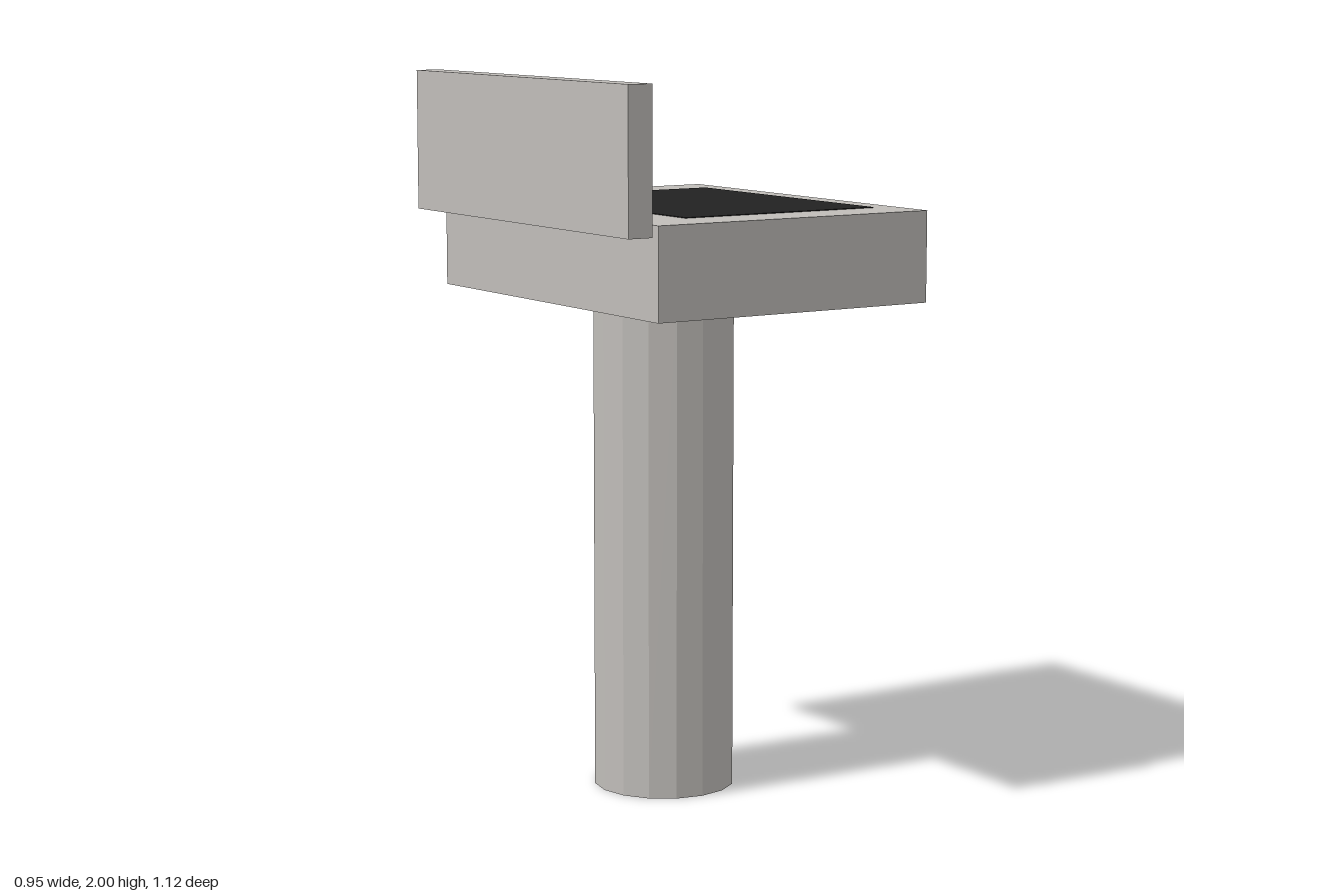
import * as THREE from 'three';

const stone = new THREE.MeshStandardMaterial({ name: 'paleStone', color: 0xc0bdb9 });
const brass = new THREE.MeshStandardMaterial({ name: 'brass', color: 0xb49a68 });
const dark = new THREE.MeshStandardMaterial({ name: 'darkBasin', color: 0x222222 });
for (const m of [stone, brass, dark]) m.flatShading = true;

export function createModel() {
  const model = new THREE.Group();
  model.name = 'pedestalSink';

  const add = (name, geometry, material, x, y, z = 0) => {
    const mesh = new THREE.Mesh(geometry, material);
    mesh.name = name;
    mesh.position.set(x, y, z);
    model.add(mesh);
  };

  // Faceted column carrying the slab
  add('pedestal', new THREE.CylinderGeometry(0.198, 0.198, 1.39, 16), stone, -0.01, 0.695);

  // Thick slab with the dark basin inlay on its top
  add('basinSlab', new THREE.BoxGeometry(0.862, 0.25, 1.116), stone, 0.044, 1.515);
  add('basinInlay', new THREE.BoxGeometry(0.612, 0.003, 0.826), dark, 0.098, 1.6405, -0.002);

  // Upright panel floating just behind the slab
  add('backsplash', new THREE.BoxGeometry(0.072, 0.39, 1.116), stone, -0.441, 1.805);

  // Pair of floating octagonal taps
  for (const side of [-1, 1]) {
    add(side < 0 ? 'rightTap' : 'leftTap',
      new THREE.CylinderGeometry(0.036, 0.036, 0.217, 8), brass, -0.317, 1.7685, side * 0.253);
  }
  return model;
}
